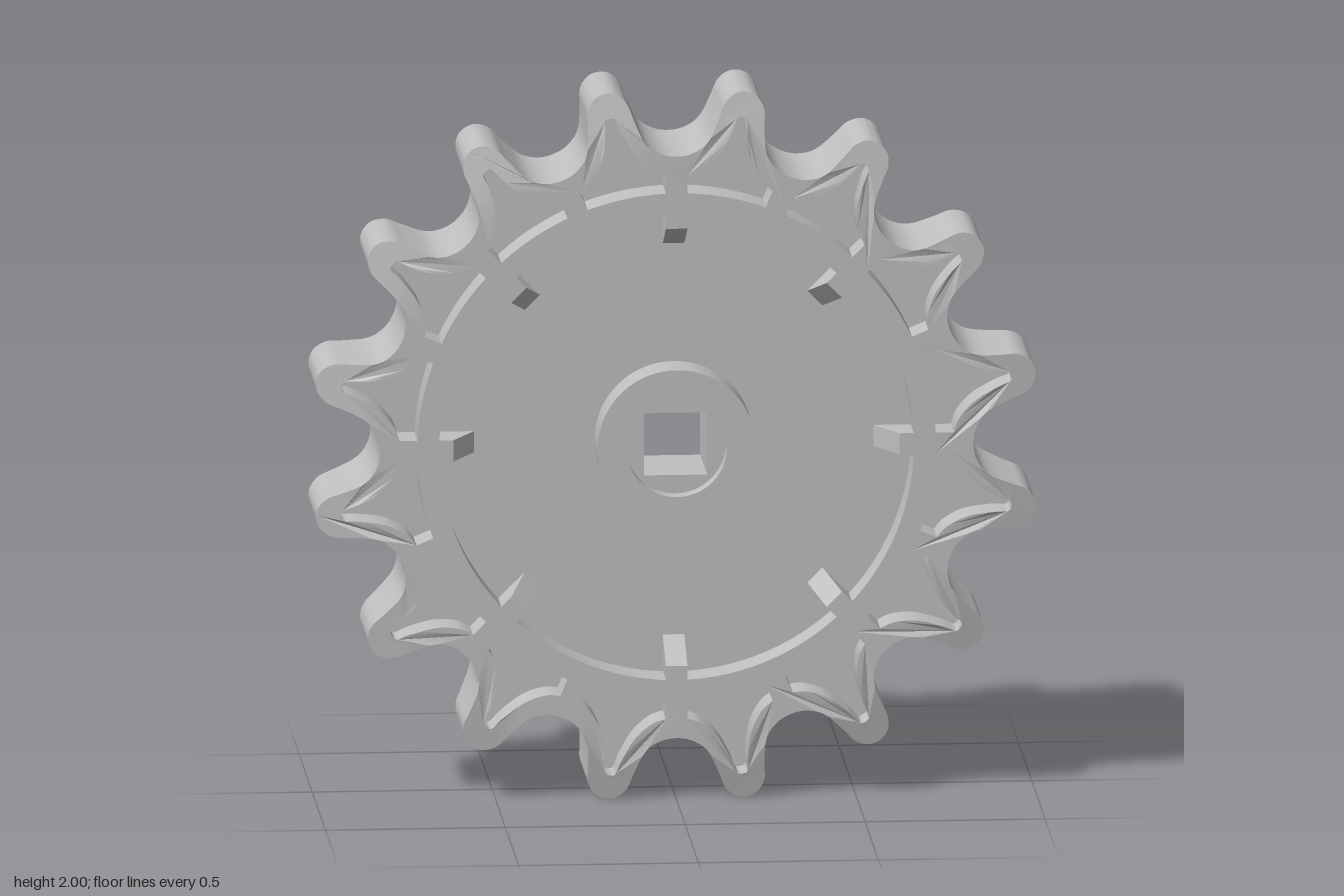
import * as THREE from 'three';
import { toCreasedNormals } from 'three/addons/utils/BufferGeometryUtils.js';

const TEETH = 16;
const HALF = 0.175;      // half thickness of the rim
const WEB_HALF = 0.06;   // half thickness of the central web
const V2 = (x, y) => new THREE.Vector2(x, y);

// Place a tooth-local point (lateral, radial) on tooth k
function onTooth(k, [lat, rad]) {
  const a = (k + 0.5) * Math.PI * 2 / TEETH;
  return V2(rad * Math.cos(a) - lat * Math.sin(a), rad * Math.sin(a) + lat * Math.cos(a));
}

const mirror = ([lat, rad]) => [-lat, rad];

// Smooth closed outline running round all the teeth
function toothOutline(scale = 1) {
  const flank = [[0.03, 1.01], [0.055, 0.98], [0.064, 0.9355], [0.0844, 0.86], [0.1227, 0.823], [0.161, 0.809]];
  const tooth = [...flank.slice(0, -1).reverse().map(mirror), [0, 1.018], ...flank];
  const pts = [];
  for (let k = 0; k < TEETH; k++) {
    for (const p of tooth) {
      const q = onTooth(k, p);
      pts.push(new THREE.Vector3(q.x * scale, q.y * scale, 0));
    }
  }
  const curve = new THREE.CatmullRomCurve3(pts, true, 'centripetal');
  return curve.getPoints(pts.length * 4).slice(0, -1).map((p) => V2(p.x, p.y));
}

// Hollow inside one tooth, bounded by the ring and two ribs
function pocket(k) {
  const flank = [[0.015, 0.943], [0.022, 0.905], [0.047, 0.833], [0.085, 0.783], [0.1207, 0.761]];
  const pts = [...flank.map(mirror).reverse(), [0, 0.949], ...flank].map((p) => V2(...p));
  const path = new THREE.SplineCurve(pts).getPoints(50).map((p) => [p.x, p.y]);
  for (let i = 0; i <= 6; i++) {
    const a = 0.1546 * (1 - i / 3);
    path.push([0.7206 * Math.sin(a), 0.7206 * Math.cos(a)]);
  }
  return new THREE.Path(path.map((p) => onTooth(k, p)));
}

function circle(r, Type = THREE.Path) {
  const c = new Type();
  c.absarc(0, 0, r, 0, Math.PI * 2, false);
  return c;
}

// Extrude a shape symmetrically about its own plane
function slab(shape, half) {
  const g = new THREE.ExtrudeGeometry(shape, { depth: half * 2, bevelEnabled: false, curveSegments: 96 });
  return g.translate(0, 0, -half);
}

export function createModel() {
  const model = new THREE.Group();
  model.name = 'sprocketWheel';
  const grey = new THREE.MeshStandardMaterial({ color: 0xc0c0c0 });
  grey.name = 'grey';

  const wheel = new THREE.Group();
  wheel.name = 'wheel';
  wheel.position.y = 1;
  model.add(wheel);

  const add = (name, geometry) => {
    const mesh = new THREE.Mesh(toCreasedNormals(geometry, 0.35), grey);
    mesh.name = name;
    wheel.add(mesh);
    return mesh;
  };

  // Toothed rim with hollow teeth, thinning towards the tips
  const rimShape = new THREE.Shape(toothOutline());
  rimShape.holes.push(circle(0.66));
  for (let k = 0; k < TEETH; k++) rimShape.holes.push(pocket(k));
  const rim = slab(rimShape, HALF);
  const pos = rim.attributes.position;
  for (let i = 0; i < pos.count; i++) {
    const r = Math.hypot(pos.getX(i), pos.getY(i));
    const taper = Math.max(0, (r - 0.875) / 0.143) * 0.03;
    pos.setZ(i, Math.sign(pos.getZ(i)) * (HALF - taper));
  }
  add('toothedRim', rim);

  // Web that closes the wheel and the tooth pockets
  const webShape = new THREE.Shape(toothOutline(0.975));
  webShape.holes.push(circle(0.18));
  add('web', slab(webShape, WEB_HALF));

  // Raised hub collar on both sides
  const hubShape = circle(0.22, THREE.Shape);
  hubShape.holes.push(circle(0.14));
  add('hub', slab(hubShape, 0.181));

  // Recessed bore floor with a square shaft hole
  const coreShape = circle(0.15, THREE.Shape);
  const s = 0.088;
  coreShape.holes.push(new THREE.Path([V2(-s, -s), V2(-s, s), V2(s, s), V2(s, -s)]));
  add('shaftSocket', slab(coreShape, 0.13));

  // Sloped gussets between the ring and the web
  const profile = new THREE.Shape([
    V2(0.662, -HALF), V2(0.662, HALF), V2(0.62, HALF),
    V2(0.555, WEB_HALF), V2(0.555, -WEB_HALF), V2(0.62, -HALF),
  ]);
  for (let k = 0; k < 8; k++) {
    const g = slab(profile, 0.03).rotateX(Math.PI / 2);
    add('gusset', g).rotation.z = k * Math.PI / 4;
  }
  return model;
}
